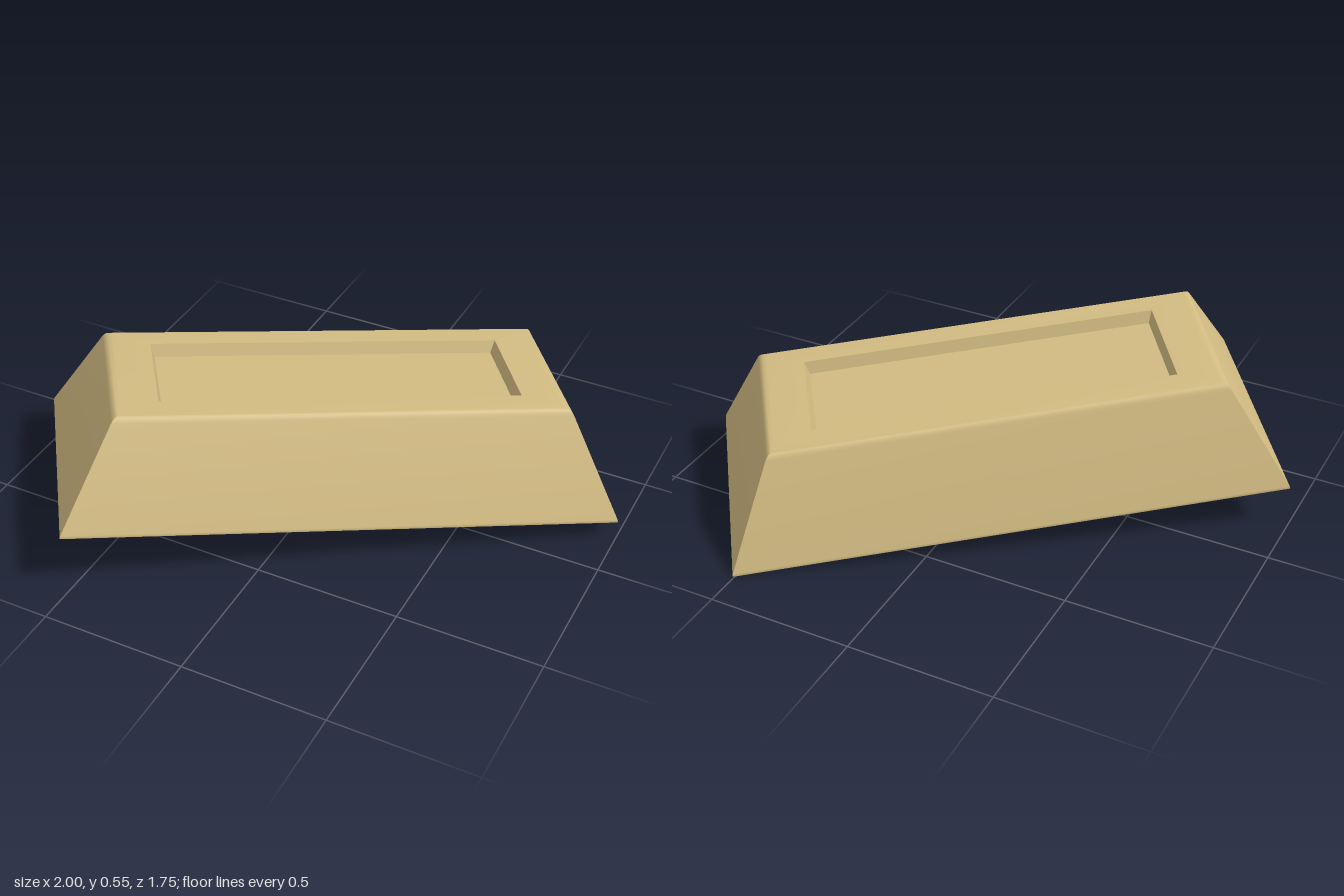
import * as THREE from 'three';
import { toCreasedNormals } from 'three/addons/utils/BufferGeometryUtils.js';

// Full-size lengths of the tapered block in its own frame (x long, z short, y thickness)
const H = 0.36;
const FOOT = [0.927, 0.43, 0];
const RIM = [0.748, 0.279, H];
const HOLE = [0.602, 0.189, H];
const FLOOR = [0.588, 0.175, H - 0.042];

// Rounds the profile corner at p between neighbours a and b
function roundCorner(a, p, b, r, steps) {
  const toward = (q) => {
    const P = new THREE.Vector3(...p);
    return P.add(new THREE.Vector3(...q).sub(P).setLength(r));
  };
  const curve = new THREE.QuadraticBezierCurve3(toward(a), new THREE.Vector3(...p), toward(b));
  return curve.getPoints(steps).map((v) => v.toArray());
}

// Stacks rectangular rings [halfX, halfZ, y] and closes both ends
function loftRectangles(rings) {
  const pos = [];
  const idx = [];
  for (const [hx, hz, y] of rings) {
    pos.push(hx, y, hz, hx, y, -hz, -hx, y, -hz, -hx, y, hz);
  }
  for (let i = 0; i < rings.length - 1; i++) {
    for (let k = 0; k < 4; k++) {
      const a = i * 4 + k, b = i * 4 + (k + 1) % 4;
      idx.push(a, b, b + 4, a, b + 4, a + 4);
    }
  }
  const n = (rings.length - 1) * 4;
  idx.push(0, 2, 1, 0, 3, 2, n, n + 1, n + 2, n, n + 2, n + 3);
  const g = new THREE.BufferGeometry();
  g.setAttribute('position', new THREE.Float32BufferAttribute(pos, 3));
  g.setIndex(idx);
  return toCreasedNormals(g, 0.7);
}

export function createModel() {
  const model = new THREE.Group();
  model.name = 'ingot';
  const tan = new THREE.MeshStandardMaterial({ color: 0xd2bb82 });
  tan.name = 'paleGold';

  // Tapered bar with softened rims and a shallow rectangular recess on top
  const rings = [
    ...roundCorner([0, 0, 0], FOOT, RIM, 0.014, 4),
    ...roundCorner(FOOT, RIM, HOLE, 0.025, 4),
    HOLE,
    FLOOR,
  ];
  const bar = new THREE.Mesh(loftRectangles(rings), tan);
  bar.name = 'recessedBar';

  // Lying turned and tilted
  const u = new THREE.Vector3(1.5, -0.16, -1.055).normalize();
  const v = u.clone().cross(new THREE.Vector3(0.026, 0.993, -0.113)).normalize();
  const n = v.clone().cross(u);
  bar.quaternion.setFromRotationMatrix(new THREE.Matrix4().makeBasis(u, n, v));
  bar.position.y = 0.116;
  model.add(bar);
  return model;
}
